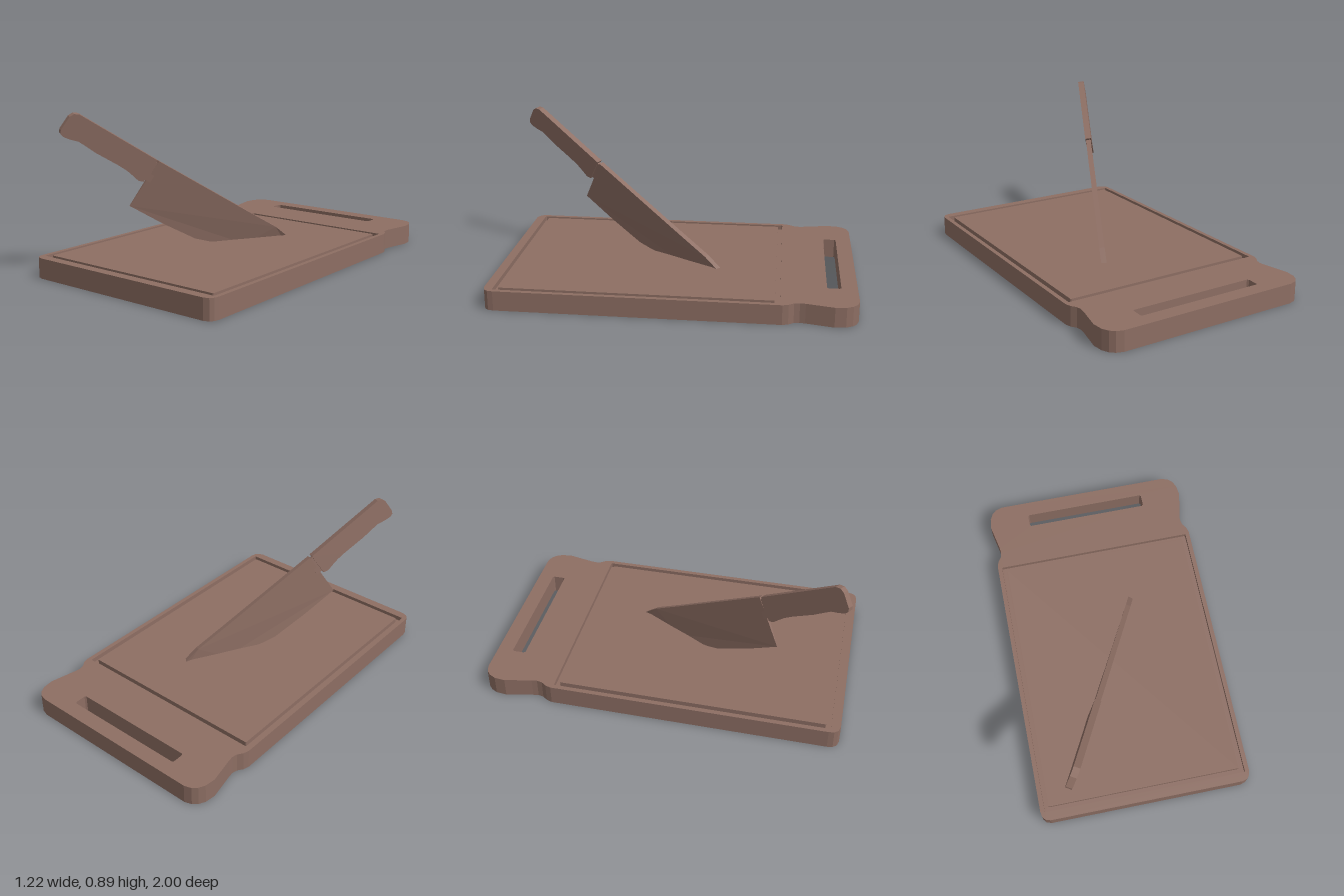
import * as THREE from 'three';

const wood = new THREE.MeshStandardMaterial({ color: 0x8d6e63, flatShading: true });
const V = (pts) => pts.map(([x, y]) => new THREE.Vector2(x, y));

function addMesh(parent, geometry, name) {
  const mesh = new THREE.Mesh(geometry, wood);
  mesh.name = name;
  parent.add(mesh);
  return mesh;
}

// Rectangle outline given in x and z, with small cut corners
function rectangle(x, z0, z1, c) {
  return [[-x, z0 + c], [-x + c, z0], [x - c, z0], [x, z0 + c],
    [x, z1 - c], [x - c, z1], [-x + c, z1], [-x, z1 - c]];
}

// Horizontal slab between two heights, from outlines in x and z
function slab(outline, holes, y0, y1) {
  const flip = (pts) => V(pts.map(([x, z]) => [x, -z]));
  const shape = new THREE.Shape(flip(outline));
  holes.forEach((h) => shape.holes.push(new THREE.Path(flip(h))));
  const geometry = new THREE.ExtrudeGeometry(shape, { depth: y1 - y0, bevelEnabled: false });
  return geometry.rotateX(-Math.PI / 2).translate(0, y0, 0);
}

// Vertical-sided plate from a profile, centred on its thickness
function plate(profile, thickness) {
  const geometry = new THREE.ExtrudeGeometry(new THREE.Shape(V(profile)),
    { depth: thickness, bevelEnabled: false });
  return geometry.translate(0, 0, -thickness / 2);
}

function createBoard() {
  const board = new THREE.Group();
  board.name = 'cuttingBoard';
  const floor = 0.085, top = 0.112;

  // Half outline from the front to the waisted grip end, then mirrored
  const half = [[0.56, 1], [0.59, 0.99], [0.605, 0.97], [0.61, 0.94], [0.61, -0.6],
    [0.6, -0.632], [0.58, -0.66], [0.574, -0.69], [0.578, -0.72], [0.61, -0.87],
    [0.603, -0.93], [0.585, -0.965], [0.56, -0.988], [0.52, -1]];
  const outline = [...half, ...half.map(([x, z]) => [-x, z]).reverse()];
  const slot = rectangle(0.366, -0.912, -0.836, 0.008);
  const grooveOuter = rectangle(0.585, -0.587, 0.949, 0.004);
  const grooveInner = rectangle(0.558, -0.56, 0.922, 0.004);

  addMesh(board, slab(outline, [slot], 0, floor), 'boardBase');
  addMesh(board, slab(outline, [slot, grooveOuter], floor, top), 'boardRim');
  addMesh(board, slab(grooveInner, [], floor, top), 'cuttingSurface');
  return board;
}

function createKnife() {
  const knife = new THREE.Group();
  knife.name = 'knife';

  // Blade: thick spine, thin edge, tip sunk into the board
  const blade = plate([[-0.035, 0.045], [0, 0], [0.1, -0.012], [0.3, -0.008], [0.943, 0],
    [0.943, 0.292], [0.72, 0.29], [0.497, 0.277], [0.411, 0.253], [0.2, 0.165], [0.07, 0.1]], 0.03);
  const p = blade.attributes.position;
  for (let i = 0; i < p.count; i++) {
    if (p.getY(i) > 0.03) p.setZ(i, p.getZ(i) * 0.06);
  }
  blade.computeVertexNormals();
  addMesh(knife, blade, 'blade');

  // Neck joining blade and handle
  addMesh(knife, plate([[0.92, 0.012], [0.97, 0.012], [0.97, 0.125], [0.92, 0.125]], 0.022), 'neck');

  // Handle with finger curves and a rounded butt
  addMesh(knife, plate([[0.957, 0], [1.46, -0.002], [1.485, 0.01], [1.497, 0.034],
    [1.499, 0.115], [1.49, 0.133], [1.47, 0.14], [1.43, 0.134], [1.385, 0.122],
    [1.33, 0.125], [1.27, 0.129], [1.2, 0.128], [1.13, 0.127], [1.07, 0.13],
    [1.02, 0.139], [0.985, 0.147], [0.957, 0.137]], 0.036), 'handle');

  // Lean the knife: x runs along the spine, y towards the edge
  const along = new THREE.Vector3(-0.356, 0.531, 0.77).normalize();
  const side = along.clone().cross(new THREE.Vector3(-0.377, -0.836, 0.397)).normalize();
  const edge = side.clone().cross(along);
  knife.quaternion.setFromRotationMatrix(new THREE.Matrix4().makeBasis(along, edge, side));
  knife.position.set(0.16, 0.11, -0.237);
  return knife;
}

export function createModel() {
  const model = new THREE.Group();
  model.name = 'boardAndKnife';
  model.add(createBoard(), createKnife());
  return model;
}
